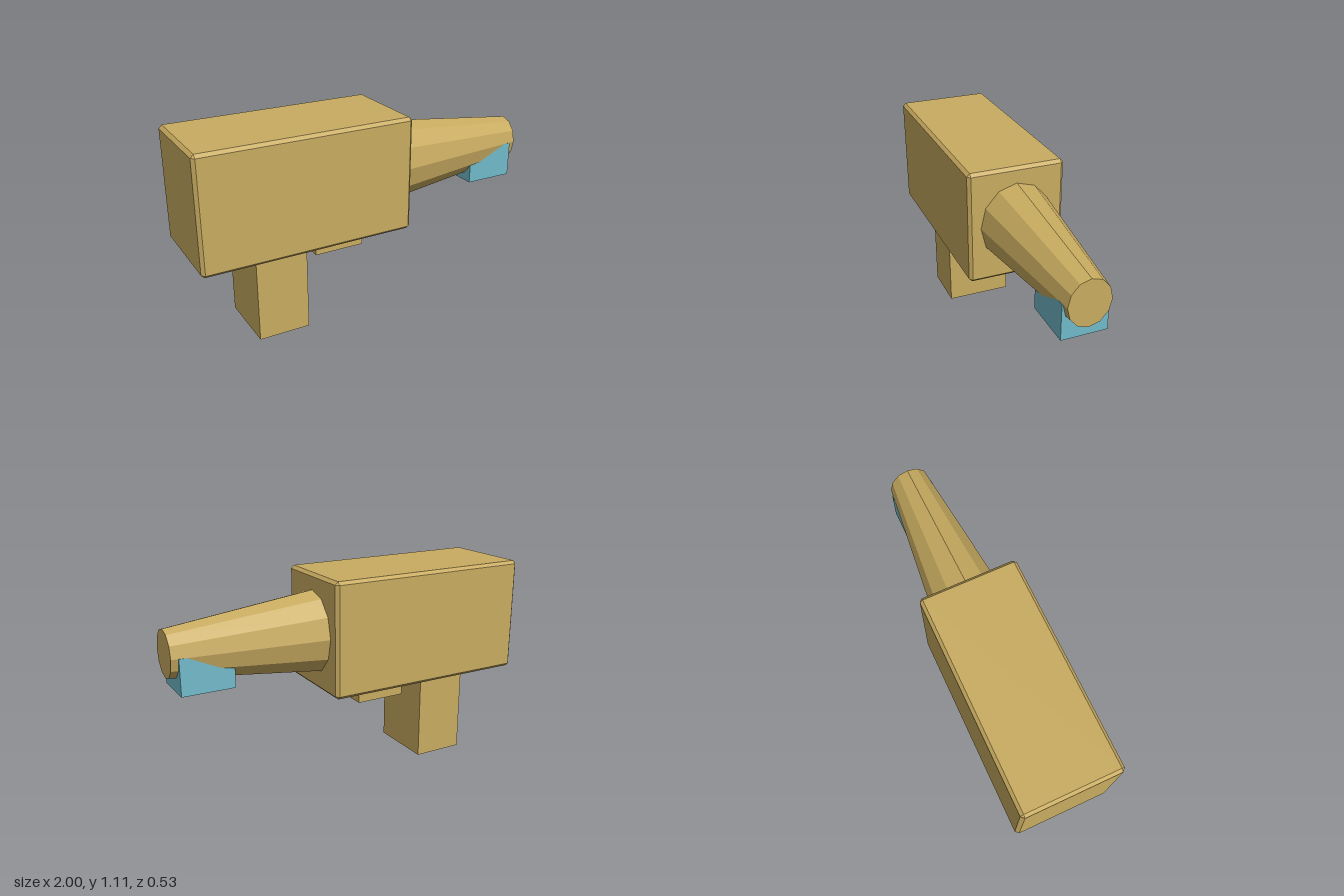
import * as THREE from 'three';
import { ConvexGeometry } from 'three/addons/geometries/ConvexGeometry.js';

// Box with every edge chamfered by c
function chamferBox(w, h, d, c) {
  const points = [];
  for (const sx of [-1, 1]) for (const sy of [-1, 1]) for (const sz of [-1, 1]) {
    for (let axis = 0; axis < 3; axis++) {
      const half = [w / 2, h / 2, d / 2].map((v, i) => (i === axis ? v : v - c));
      points.push(new THREE.Vector3(sx * half[0], sy * half[1], sz * half[2]));
    }
  }
  return new ConvexGeometry(points);
}

export function createModel() {
  const group = new THREE.Group();
  const tan = new THREE.MeshStandardMaterial({ name: 'tan', color: 0xc8ab60, flatShading: true });
  const blue = new THREE.MeshStandardMaterial({ name: 'paleBlue', color: 0x72bac9, flatShading: true });

  const add = (name, geometry, material, x, y) => {
    const mesh = new THREE.Mesh(geometry, material);
    mesh.name = name;
    mesh.position.set(x, y, 0);
    group.add(mesh);
    return mesh;
  };
  // Box from its x and y limits and its depth
  const addBox = (name, material, x0, x1, y0, y1, d) =>
    add(name, new THREE.BoxGeometry(x1 - x0, y1 - y0, d), material, (x0 + x1) / 2, (y0 + y1) / 2);

  // Main housing
  add('body', chamferBox(1.18, 0.63, 0.532, 0.017), tan, -0.41, 0.795);

  // Tapered twelve-sided barrel, slightly narrower than tall
  const barrel = new THREE.CylinderGeometry(0.127, 0.227, 0.82, 12);
  barrel.rotateZ(-Math.PI / 2);
  barrel.scale(1, 1, 0.88);
  add('barrel', barrel, tan, 0.59, 0.795);

  // Grip and the small block under the body
  addBox('grip', tan, -0.695, -0.41, 0, 0.49, 0.374);
  addBox('triggerBlock', tan, -0.325, -0.042, 0.377, 0.49, 0.24);

  // Block under the muzzle
  addBox('muzzleBlock', blue, 0.68, 0.963, 0.6, 0.795, 0.24);

  return group;
}
